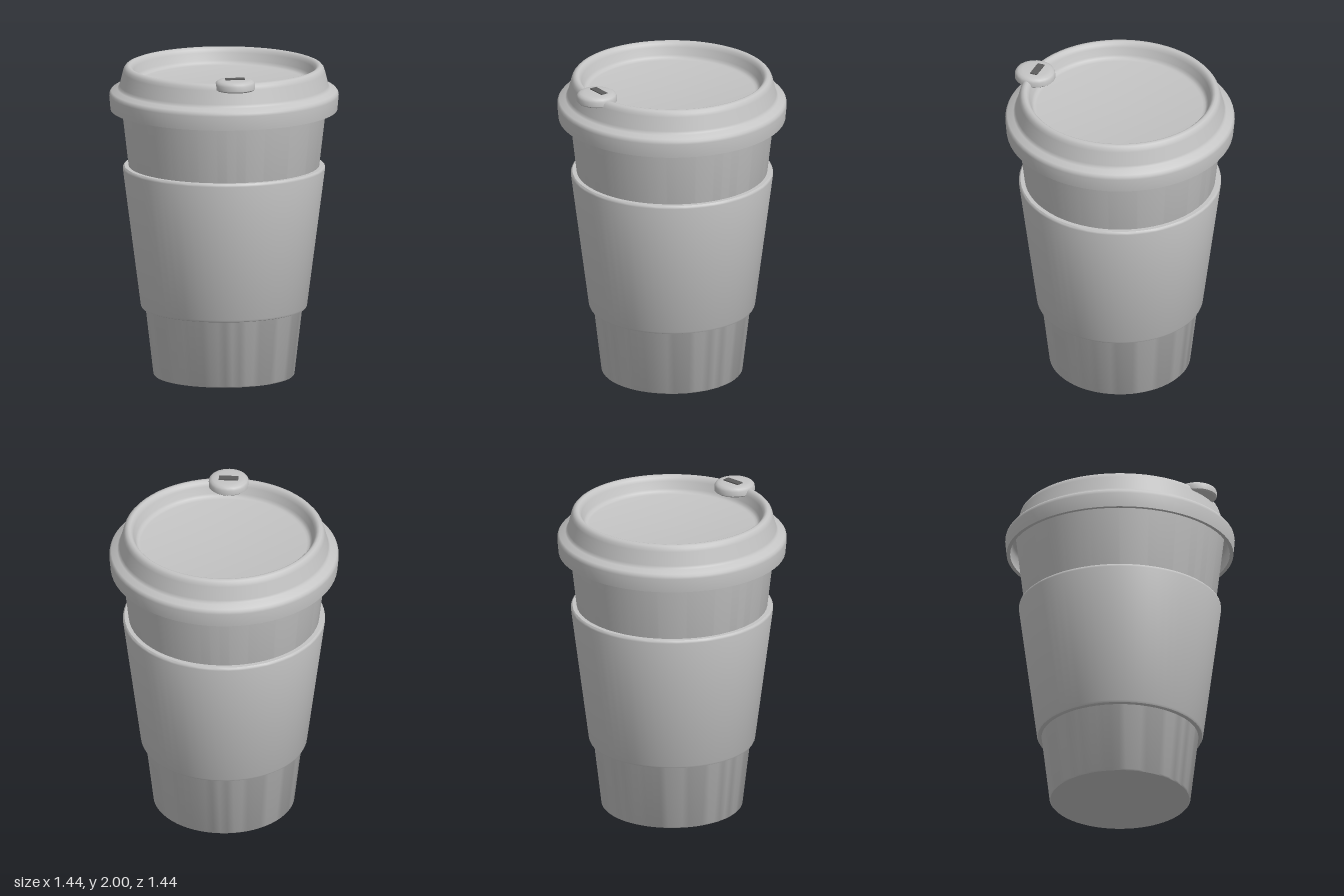
import * as THREE from 'three';
import { toCreasedNormals } from 'three/addons/utils/BufferGeometryUtils.js';

const plastic = new THREE.MeshStandardMaterial({ color: 0xc4c4c4 });
plastic.name = 'light grey';
const dark = new THREE.MeshStandardMaterial({ color: 0x5c5c5c });
dark.name = 'dark grey';

// Turned part from [radius, height] pairs, running bottom, outside, top
function turned(name, profile, segments, crease = 0.7) {
  const points = profile.map(([r, y]) => new THREE.Vector2(r, y));
  const geometry = toCreasedNormals(new THREE.LatheGeometry(points, segments), crease);
  const mesh = new THREE.Mesh(geometry, plastic);
  mesh.name = name;
  return mesh;
}

export function createModel() {
  const model = new THREE.Group();
  model.name = 'travelCup';

  // Tapered cup with a closed base; its top is hidden under the lid
  model.add(turned('cup', [[0, 0], [0.435, 0], [0.442, 0.008], [0.654, 1.82], [0, 1.82]], 64));

  // Sleeve with rounded lips, closed against the cup wall
  model.add(turned('sleeve', [
    [0.485, 0.43], [0.505, 0.43], [0.515, 0.434], [0.521, 0.446],
    [0.634, 1.318], [0.632, 1.33], [0.624, 1.337], [0.59, 1.337],
  ], 64));

  // Lid: hollow skirt, stepped shoulder, rounded crest and sunken top
  model.add(turned('lid', [
    [0.645, 1.81], [0.675, 1.80], [0.69, 1.78], [0.688, 1.695],
    [0.711, 1.695], [0.719, 1.785], [0.716, 1.802], [0.706, 1.814],
    [0.668, 1.828], [0.659, 1.836], [0.654, 1.85],
    [0.633, 1.935], [0.626, 1.955], [0.615, 1.968], [0.6, 1.974],
    [0.588, 1.971], [0.576, 1.96], [0.567, 1.94],
    [0.553, 1.895], [0.545, 1.88], [0.535, 1.872], [0.52, 1.869], [0, 1.869],
  ], 64, 0.9));

  // Round drinking spout on the front of the rim
  const spout = new THREE.Group();
  spout.name = 'spout';
  spout.position.z = 0.582;
  spout.add(turned('spoutButton', [
    [0, 1.93], [0.118, 1.93], [0.127, 1.938], [0.127, 1.968],
    [0.12, 1.982], [0.105, 1.991], [0.08, 1.994], [0, 1.994],
  ], 20));
  const slot = new THREE.Mesh(new THREE.BoxGeometry(0.122, 0.008, 0.046), dark);
  slot.name = 'sipSlot';
  slot.position.set(0, 1.996, -0.015);
  spout.add(slot);
  model.add(spout);

  return model;
}
